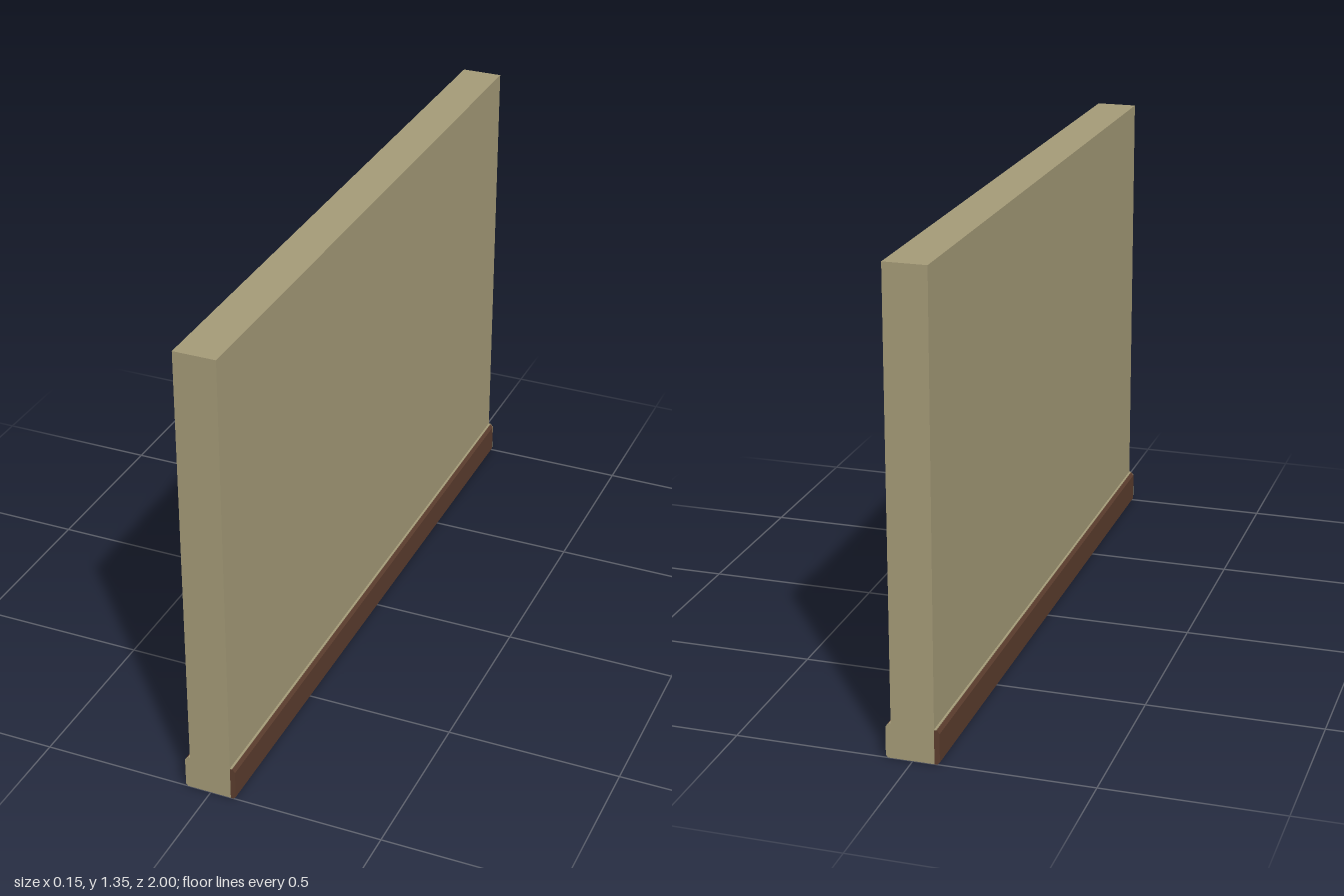
import * as THREE from 'three';

export function createModel() {
  const model = new THREE.Group();
  const plaster = new THREE.MeshStandardMaterial({ color: 0xa59b78 });
  plaster.name = 'khaki plaster';
  const wood = new THREE.MeshStandardMaterial({ color: 0x5c3d2e });
  wood.name = 'dark brown wood';

  const add = (parent, name, geometry, material, x = 0, y = 0, z = 0) => {
    const mesh = new THREE.Mesh(geometry, material);
    mesh.name = name;
    mesh.position.set(x, y, z);
    parent.add(mesh);
  };

  // Wall slab
  add(model, 'wall', new THREE.BoxGeometry(0.12, 1.35, 2), plaster, 0, 0.675, 0);

  // Skirting profile with bevelled outer corners
  const profile = new THREE.Shape([
    [0.06, 0], [0.069, 0], [0.075, 0.007], [0.075, 0.089], [0.069, 0.098], [0.06, 0.098],
  ].map(([x, y]) => new THREE.Vector2(x, y)));
  const extrude = (depth) => new THREE.ExtrudeGeometry(profile, { depth, bevelEnabled: false });

  // One board per side; the second is the first turned half a circle
  for (const [name, turn] of [['leftSkirting', 0], ['rightSkirting', Math.PI]]) {
    const board = new THREE.Group();
    board.name = name;
    add(board, 'skirtingBoard', extrude(1.998), wood, 0, 0, -0.998);
    add(board, 'paintedEnd', extrude(0.002), plaster, 0, 0, -1);
    add(board, 'paintedTopEdge', new THREE.BoxGeometry(0.006, 0.002, 2), plaster, 0.063, 0.099, 0);
    board.rotation.y = turn;
    model.add(board);
  }
  return model;
}
